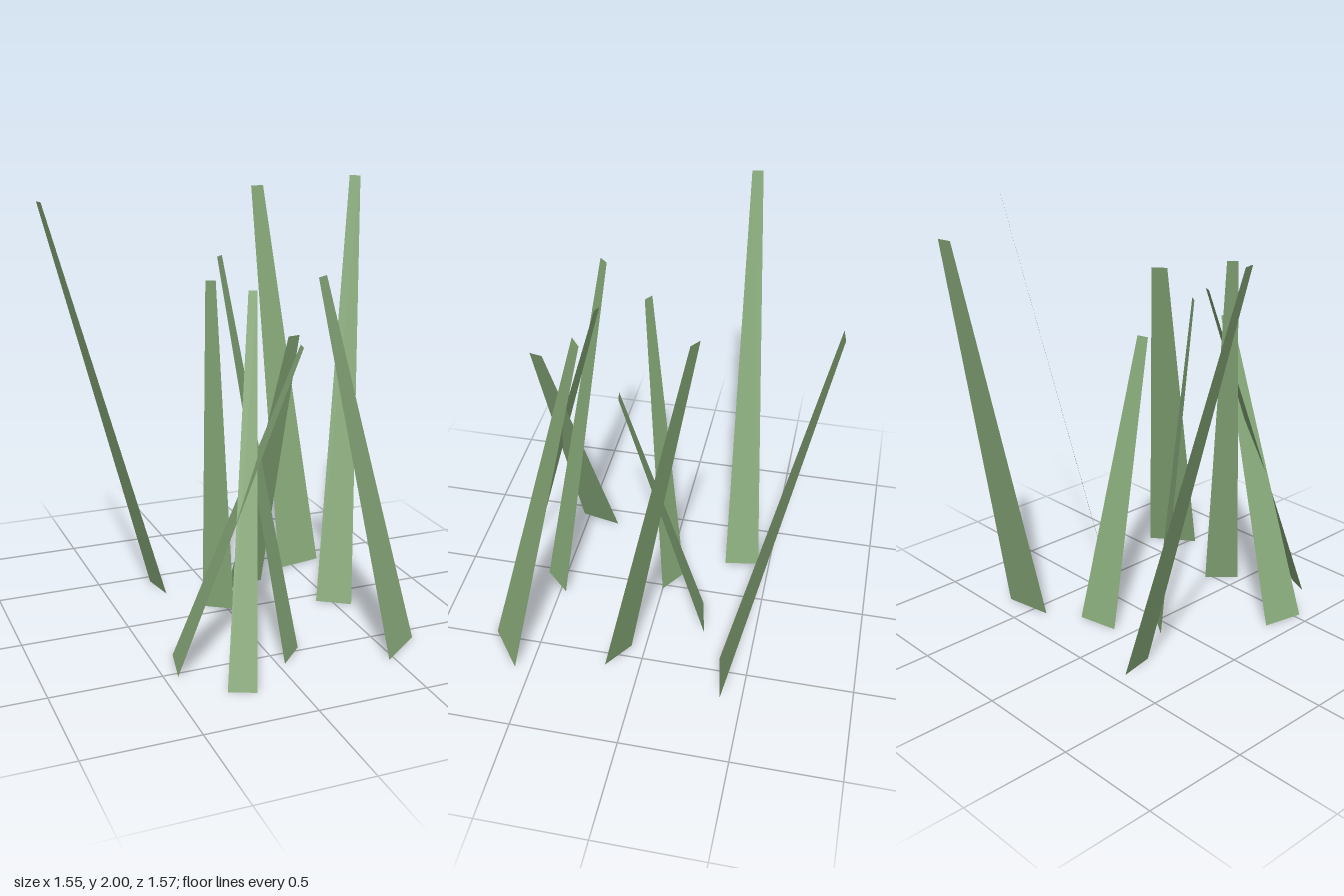
import * as THREE from 'three';

// Each blade: base centre (x, z), tip centre (x, y, z), half of the base edge (x, z)
const BLADES = [
  { base: [0.54, -0.38], tip: [0.465, 1.915, -0.785], half: [0.117, -0.02] },
  { base: [-0.234, -0.362], tip: [-0.775, 1.94, -0.275], half: [0.015, 0.083] },
  { base: [0.179, -0.238], tip: [0.258, 1.35, 0.14], half: [0.098, -0.02] },
  { base: [0.502, 0.115], tip: [0.754, 2.0, -0.275], half: [0.071, 0.048] },
  { base: [-0.037, -0.042], tip: [-0.12, 1.615, 0.092], half: [0.064, 0.042] },
  { base: [0.573, 0.65], tip: [0.315, 1.64, 0.302], half: [0.1, -0.075] },
  { base: [-0.419, 0.432], tip: [0.108, 1.405, 0.548], half: [0.021, -0.098] },
  { base: [0.089, 0.532], tip: [-0.158, 1.755, 0.298], half: [0.058, -0.06] },
  { base: [-0.234, 0.754], tip: [-0.007, 1.6, 0.296], half: [0.057, 0.025] },
];
const TIP_TAPER = 0.3; // tip width relative to base width

// Flat tapering strip, leaning from its base to its tip
function bladeGeometry({ base, tip, half }) {
  const geometry = new THREE.PlaneGeometry(2, 1);
  const pos = geometry.attributes.position;
  for (let i = 0; i < pos.count; i++) {
    const side = pos.getX(i);
    const t = pos.getY(i) + 0.5;
    const w = side * THREE.MathUtils.lerp(1, TIP_TAPER, t);
    pos.setXYZ(
      i,
      THREE.MathUtils.lerp(base[0], tip[0], t) + half[0] * w,
      tip[1] * t,
      THREE.MathUtils.lerp(base[1], tip[2], t) + half[1] * w
    );
  }
  geometry.computeVertexNormals();
  return geometry;
}

export function createModel() {
  const group = new THREE.Group();
  group.name = 'grassTuft';
  const green = new THREE.MeshStandardMaterial({
    color: 0x86a878,
    flatShading: true,
    side: THREE.DoubleSide,
  });
  BLADES.forEach((blade, i) => {
    const mesh = new THREE.Mesh(bladeGeometry(blade), green);
    mesh.name = `grassBlade${i + 1}`;
    group.add(mesh);
  });
  return group;
}
